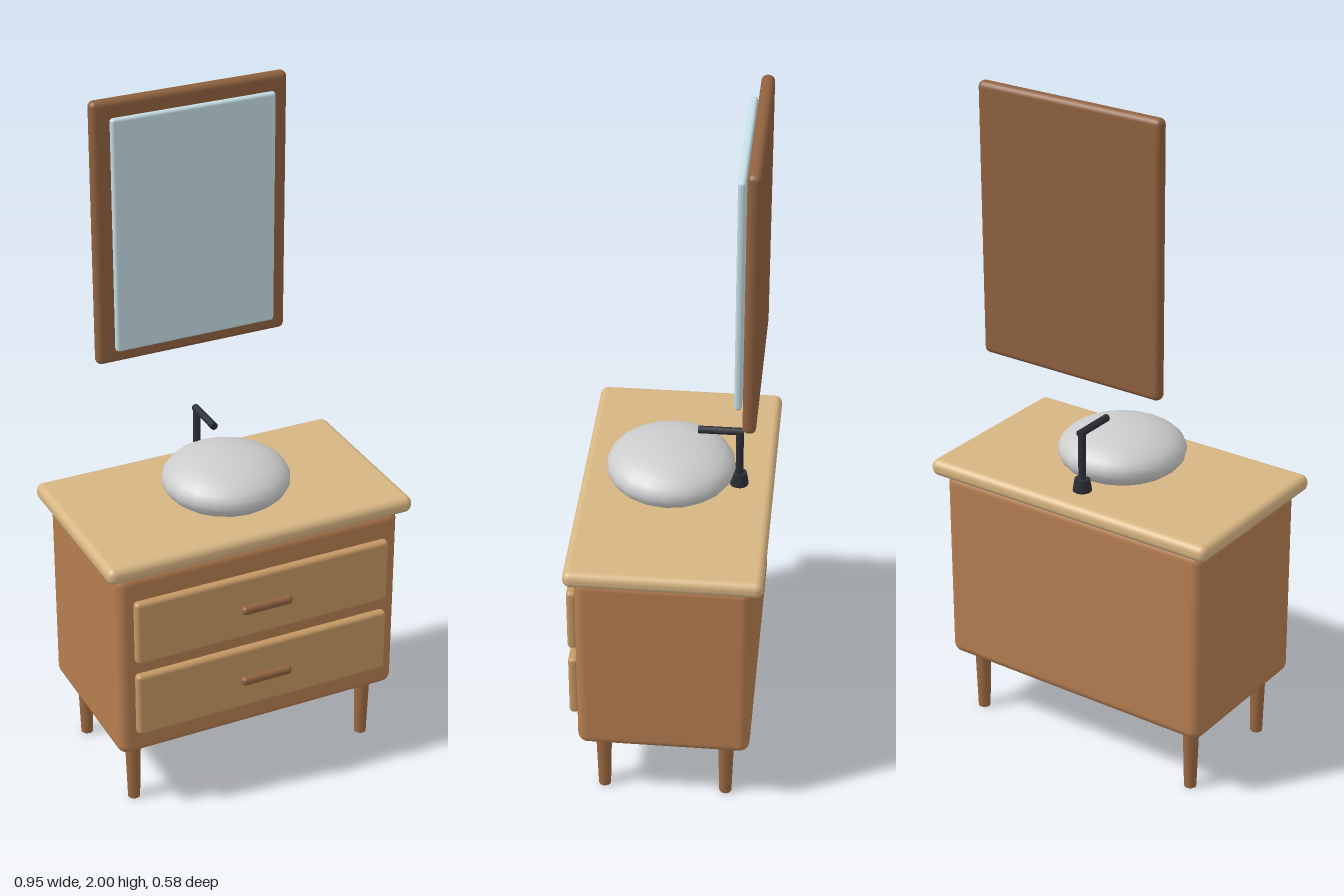
import * as THREE from 'three';
import { RoundedBoxGeometry } from 'three/addons/geometries/RoundedBoxGeometry.js';

const mat = (color) => new THREE.MeshStandardMaterial({ color });

export function createModel() {
  const model = new THREE.Group();
  const wood = mat(0xb57d50), drawerWood = mat(0xc39763), topWood = mat(0xd6b582);
  const darkWood = mat(0x8f613f), legWood = mat(0x9a6841);
  const glass = mat(0xc4dde4), metal = mat(0x2b2e36), ceramic = mat(0xcccccc);

  const add = (name, geometry, material, x, y, z) => {
    const mesh = new THREE.Mesh(geometry, material);
    mesh.name = name;
    mesh.position.set(x, y, z);
    model.add(mesh);
    return mesh;
  };
  // Rounded box given by its y and z extents, centred on x = 0
  const box = (name, width, [y0, y1], [z0, z1], radius, material) =>
    add(name, new RoundedBoxGeometry(width, y1 - y0, z1 - z0, 4, radius),
      material, 0, (y0 + y1) / 2, (z0 + z1) / 2);

  // Cabinet and countertop
  box('cabinet', 0.885, [0.2, 0.797], [-0.26, 0.237], 0.03, wood);
  box('countertop', 0.948, [0.795, 0.845], [-0.29, 0.263], 0.022, topWood);

  // Two drawers with their pulls
  for (const [name, y] of [['lower', 0.38], ['upper', 0.62]]) {
    box(name + 'Drawer', 0.795, [y - 0.1, y + 0.1], [0.235, 0.264], 0.012, drawerWood);
    box(name + 'Handle', 0.158, [y - 0.013, y + 0.013], [0.262, 0.288], 0.011, darkWood);
  }

  // Four tapered legs
  for (const x of [-0.376, 0.376]) {
    for (const z of [-0.19, 0.167]) {
      const name = (z > 0 ? 'front' : 'back') + (x > 0 ? 'Left' : 'Right') + 'Leg';
      add(name, new THREE.CylinderGeometry(0.024, 0.018, 0.21, 14), legWood, x, 0.105, z);
    }
  }

  // Vessel basin, a flattened sphere
  add('basin', new THREE.SphereGeometry(1, 20, 16), ceramic, 0, 0.9, 0.005)
    .scale.set(0.186, 0.08, 0.186);

  // Tap: flared base, post and forward spout
  add('tapBase', new THREE.CylinderGeometry(0.022, 0.028, 0.04, 14), metal, 0, 0.862, -0.191);
  add('tapPost', new THREE.CylinderGeometry(0.011, 0.011, 0.18, 12), metal, 0, 0.935, -0.191);
  add('tapSpout', new THREE.CylinderGeometry(0.011, 0.011, 0.13, 12), metal, 0, 1.024, -0.137)
    .rotation.x = Math.PI / 2;

  // Wall mirror: wooden backing and glass panel in front
  box('mirrorFrame', 0.59, [1.215, 2], [-0.25, -0.213], 0.017, darkWood);
  box('mirrorGlass', 0.494, [1.26, 1.955], [-0.208, -0.187], 0.009, glass);

  return model;
}
